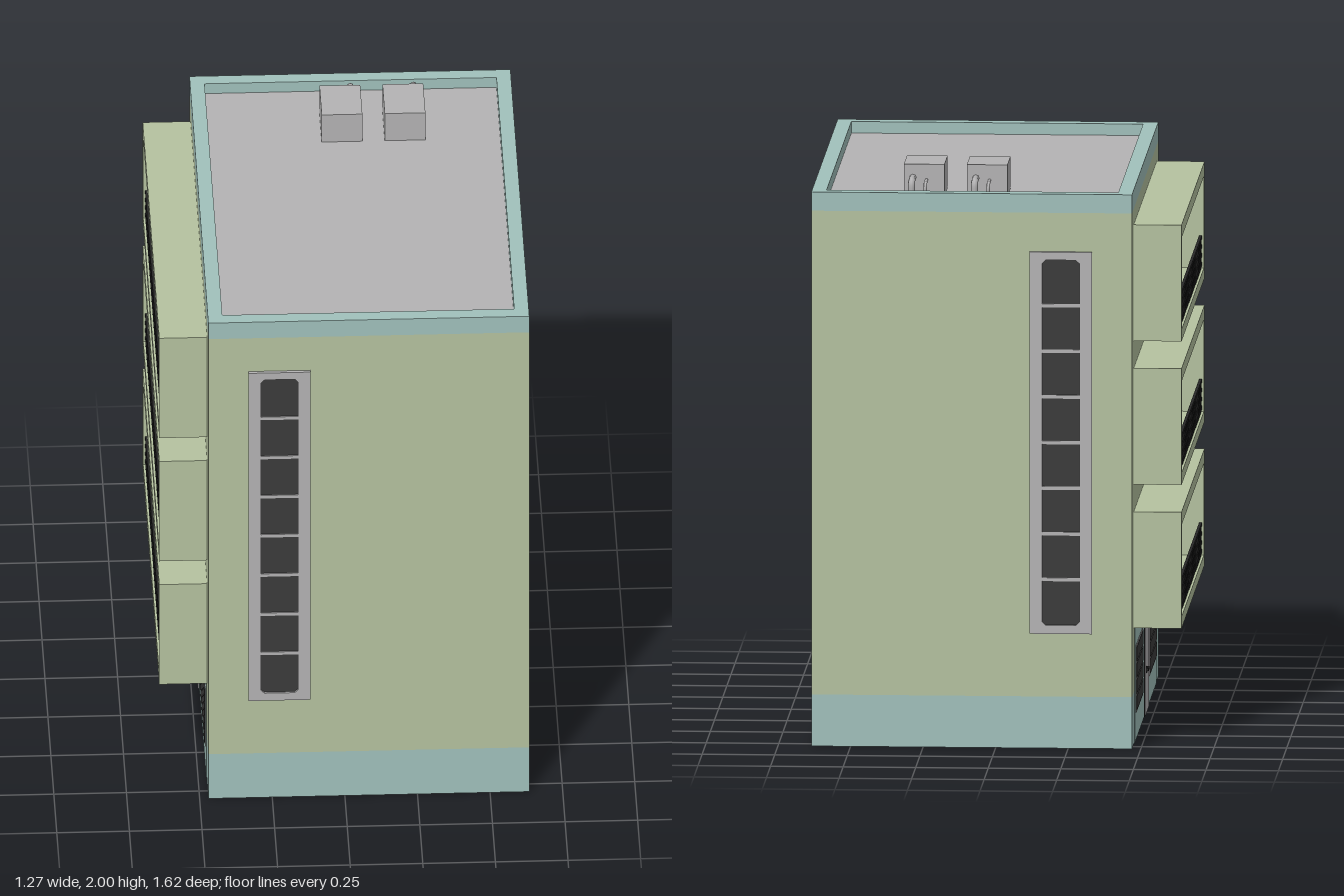
import * as THREE from 'three';
import { mergeGeometries } from 'three/addons/utils/BufferGeometryUtils.js';

const mat = (name, color) => {
  const m = new THREE.MeshStandardMaterial({ color });
  m.name = name;
  return m;
};

// box geometry from min/max corners
function boxGeo(x0, x1, y0, y1, z0, z1) {
  return new THREE.BoxGeometry(x1 - x0, y1 - y0, z1 - z0)
    .translate((x0 + x1) / 2, (y0 + y1) / 2, (z0 + z1) / 2);
}

function add(parent, name, geo, material) {
  const m = new THREE.Mesh(Array.isArray(geo) ? mergeGeometries(geo) : geo, material);
  m.name = name;
  parent.add(m);
  return m;
}

// outline in x/y, optionally with its corners cut
function outline(Type, x0, x1, y0, y1, c = 0) {
  const p = c
    ? [[x0 + c, y0], [x1 - c, y0], [x1, y0 + c], [x1, y1 - c], [x1 - c, y1], [x0 + c, y1], [x0, y1 - c], [x0, y0 + c]]
    : [[x0, y0], [x1, y0], [x1, y1], [x0, y1]];
  return new Type(p.map(([x, y]) => new THREE.Vector2(x, y)));
}

// rectangular frame extruded along +z
function frameGeo(o, i, depth, cut = 0) {
  const s = outline(THREE.Shape, ...o);
  s.holes.push(outline(THREE.Path, ...i, cut));
  return new THREE.ExtrudeGeometry(s, { depth, bevelEnabled: false });
}

export function createModel() {
  const green = mat('sage green wall', 0xb5c2a0);
  const teal = mat('pale teal trim', 0xa1c1bc);
  const grey = mat('light grey', 0xb4b3b4);
  const glass = mat('dark glass', 0x3c3c3c);
  const black = mat('black metal', 0x262626);

  const model = new THREE.Group();
  model.name = 'apartmentBlock';
  const X0 = -0.47, X1 = 0.635, Z = 0.8;

  // main body: plinth, walls, roof and parapet
  add(model, 'plinth', boxGeo(X0, X1, 0, 0.18, -Z, Z), [teal, teal, teal, green, teal, teal]);
  add(model, 'walls', boxGeo(X0, X1, 0.18, 1.865, -Z, Z), green);
  add(model, 'roof', boxGeo(X0 + 0.05, X1 - 0.05, 1.865, 1.89, -Z + 0.05, Z - 0.05), grey);
  const parapet = add(model, 'parapet',
    frameGeo([X0, X1, -Z, Z], [X0 + 0.05, X1 - 0.05, -Z + 0.05, Z - 0.05], 0.065), teal);
  parapet.rotation.x = -Math.PI / 2;
  parapet.position.y = 1.865;

  // rooftop units with bent pipes
  [-0.03, 0.187].forEach((x) => {
    const unit = new THREE.Group();
    unit.name = 'rooftopUnit';
    unit.position.x = x;
    add(unit, 'unitCase', boxGeo(0, 0.14, 1.89, 2, -0.61, -0.42), grey);
    [[0.062, 0.006, -0.684, 1.945], [0.109, 0.012, -0.688, 1.953]].forEach(([px, r, z, y]) => {
      const path = new THREE.CurvePath();
      const v = (yy, zz) => new THREE.Vector3(px, yy, zz);
      path.add(new THREE.LineCurve3(v(y, -0.6), v(y, z + 0.02)));
      path.add(new THREE.QuadraticBezierCurve3(v(y, z + 0.02), v(y, z), v(y - 0.02, z)));
      path.add(new THREE.LineCurve3(v(y - 0.02, z), v(1.885, z)));
      add(unit, 'pipe', new THREE.TubeGeometry(path, 20, r, 8), grey);
    });
    model.add(unit);
  });

  // tall stairwell windows, front and back
  [1, -1].forEach((side) => {
    const g = new THREE.Group();
    g.name = 'stairWindow';
    g.position.set(-0.225, 0, side * Z);
    if (side < 0) g.rotation.y = Math.PI;
    add(g, 'stairFrame', frameGeo([-0.107, 0.107, 0.4, 1.73], [-0.064, 0.064, 0.43, 1.702], 0.012, 0.012), grey);
    add(g, 'stairGlass', boxGeo(-0.066, 0.066, 0.425, 1.705, 0, 0.005), glass);
    const bars = [];
    for (let i = 1; i < 8; i++) {
      const y = 0.43 + i * 0.159;
      bars.push(boxGeo(-0.066, 0.066, y - 0.006, y + 0.006, 0, 0.009));
    }
    add(g, 'stairBars', bars, grey);
    model.add(g);
  });

  // balcony side: local x runs along world z, local z points outward
  const facade = new THREE.Group();
  facade.name = 'balconySide';
  facade.position.x = X0;
  facade.rotation.y = -Math.PI / 2;
  model.add(facade);

  // window with panes split into columns or rows
  function windowUnit(parent, x0, x1, y0, y1, cols, rows) {
    const g = new THREE.Group();
    g.name = 'window';
    add(g, 'windowFrame', boxGeo(x0, x1, y0, y1, 0, 0.004), grey);
    const panes = [], b = 0.008;
    const w = (x1 - x0 - b) / cols, h = (y1 - y0 - b) / rows;
    for (let i = 0; i < cols; i++) {
      for (let j = 0; j < rows; j++) {
        const px = x0 + b + i * w, py = y0 + b + j * h;
        panes.push(boxGeo(px, px + w - b, py, py + h - b, 0.003, 0.006));
      }
    }
    add(g, 'windowPanes', panes, glass);
    parent.add(g);
  }

  function door(parent, y) {
    const g = new THREE.Group();
    g.name = 'door';
    g.position.y = y;
    add(g, 'doorSurround', boxGeo(-0.104, 0.104, 0, 0.33, 0, 0.004), black);
    add(g, 'doorLeaf', boxGeo(-0.095, 0.095, 0.006, 0.322, 0, 0.007), grey);
    add(g, 'doorHandle', [
      boxGeo(-0.075, -0.062, 0.15, 0.172, 0.007, 0.011),
      boxGeo(-0.075, -0.03, 0.156, 0.166, 0.01, 0.016),
    ], black);
    parent.add(g);
  }

  // ground floor
  add(facade, 'groundPanel', boxGeo(-0.66, 0.66, 0, 0.405, 0, 0.002), teal);
  door(facade, 0);
  windowUnit(facade, -0.605, -0.195, 0.095, 0.33, 1, 4);
  windowUnit(facade, 0.2, 0.615, 0.095, 0.33, 1, 4);

  // three stacked balconies
  for (let n = 0; n < 3; n++) {
    const b = new THREE.Group();
    b.name = 'balcony';
    b.position.y = 0.405 + n * 0.5;
    add(b, 'balconyShell', frameGeo([-0.7, 0.7, 0, 0.405], [-0.662, 0.662, 0.04, 0.36], 0.165), green);
    add(b, 'balconyBackWall', boxGeo(-0.662, 0.662, 0.04, 0.36, 0, 0.002), teal);
    door(b, 0.04);
    windowUnit(b, -0.605, -0.195, 0.095, 0.345, 6, 1);
    windowUnit(b, 0.2, 0.615, 0.095, 0.345, 6, 1);
    // railing of crossed bars
    const bars = [];
    for (let i = 0; i < 4; i++) {
      const y = 0.048 + i * 0.031;
      bars.push(boxGeo(-0.662, 0.662, y, y + 0.012, 0.148, 0.158));
    }
    for (let i = 0; i <= 40; i++) {
      const x = -0.655 + i * 0.03275;
      bars.push(boxGeo(x - 0.006, x + 0.006, 0.04, 0.15, 0.149, 0.157));
    }
    add(b, 'railing', bars, black);
    facade.add(b);
  }
  return model;
}
